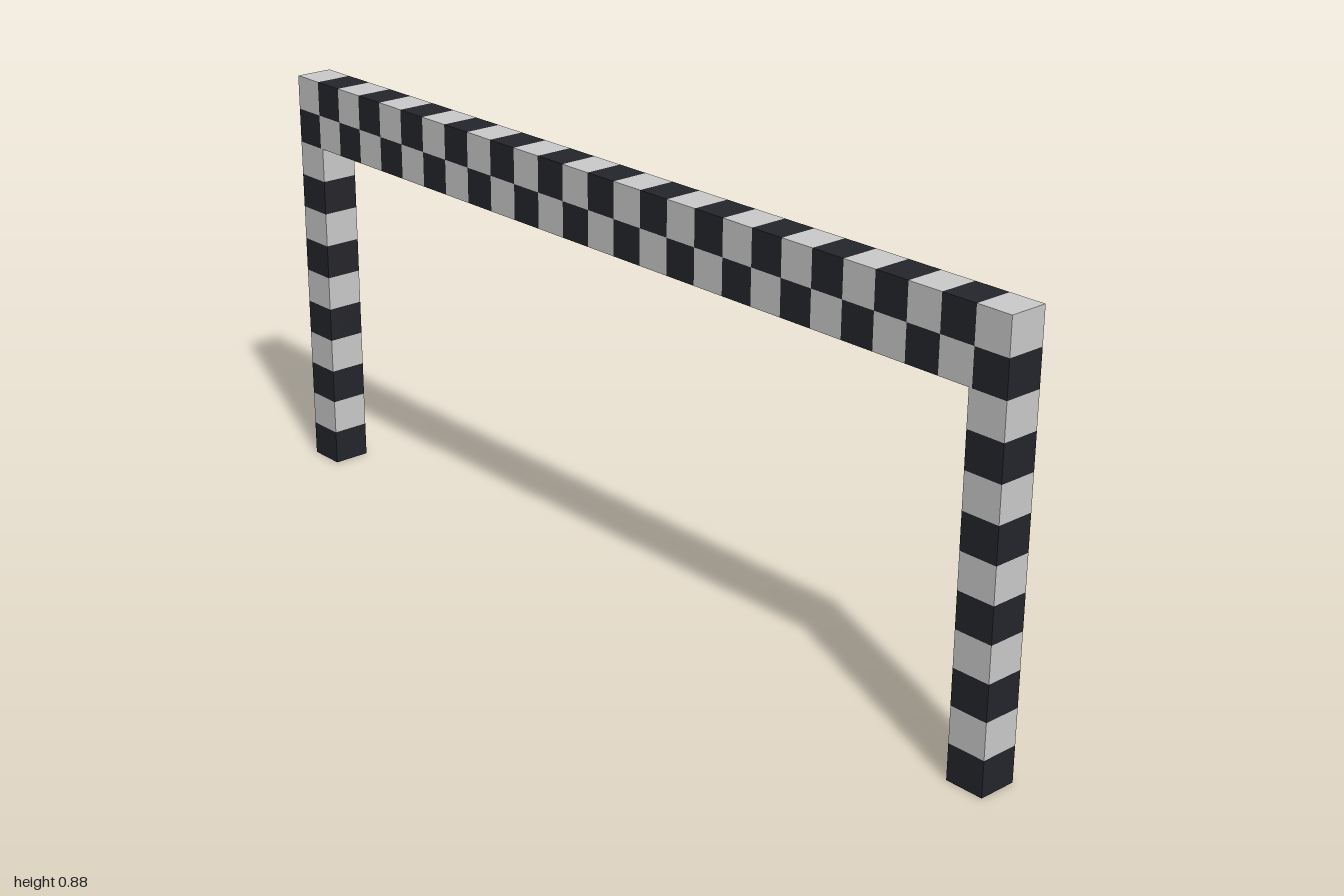
import * as THREE from 'three';
import { mergeGeometries } from 'three/addons/utils/BufferGeometryUtils.js';

const HEIGHT = 0.882, ROWS = 12, POST_ROWS = 10, COLUMNS = 27;
const ROW = HEIGHT / ROWS;
const COLUMN = 2 / COLUMNS;
const THICKNESS = 0.081;

const light = new THREE.MeshStandardMaterial({ color: 0xcccccc });
const dark = new THREE.MeshStandardMaterial({ color: 0x25262c });

// One checker block, a full thickness deep
function block(width, x, row) {
  return new THREE.BoxGeometry(width, ROW, THICKNESS).translate(x, (row + 0.5) * ROW, 0);
}

// Group of light and dark blocks, each colour merged into one mesh
function checkered(name, lightBlocks, darkBlocks) {
  const group = new THREE.Group();
  group.name = name;
  const lightMesh = new THREE.Mesh(mergeGeometries(lightBlocks), light);
  lightMesh.name = name + 'LightBlocks';
  const darkMesh = new THREE.Mesh(mergeGeometries(darkBlocks), dark);
  darkMesh.name = name + 'DarkBlocks';
  group.add(lightMesh, darkMesh);
  return group;
}

// Upright post with alternating bands, dark at the foot
function createPost(name, side) {
  const bands = [[], []];
  for (let row = 0; row < POST_ROWS; row++) {
    bands[row % 2].push(block(THICKNESS, side * (1 - THICKNESS / 2), row));
  }
  return checkered(name, bands[1], bands[0]);
}

// Crossbar: two rows of checks over the full width
function createCrossbar() {
  const checks = [[], []];
  for (let row = POST_ROWS; row < ROWS; row++) {
    for (let i = 0; i < COLUMNS; i++) {
      checks[(row + i) % 2].push(block(COLUMN, -1 + (i + 0.5) * COLUMN, row));
    }
  }
  return checkered('crossbar', checks[1], checks[0]);
}

export function createModel() {
  const model = new THREE.Group();
  model.name = 'checkeredGate';
  model.add(createPost('leftPost', 1), createPost('rightPost', -1), createCrossbar());
  return model;
}
